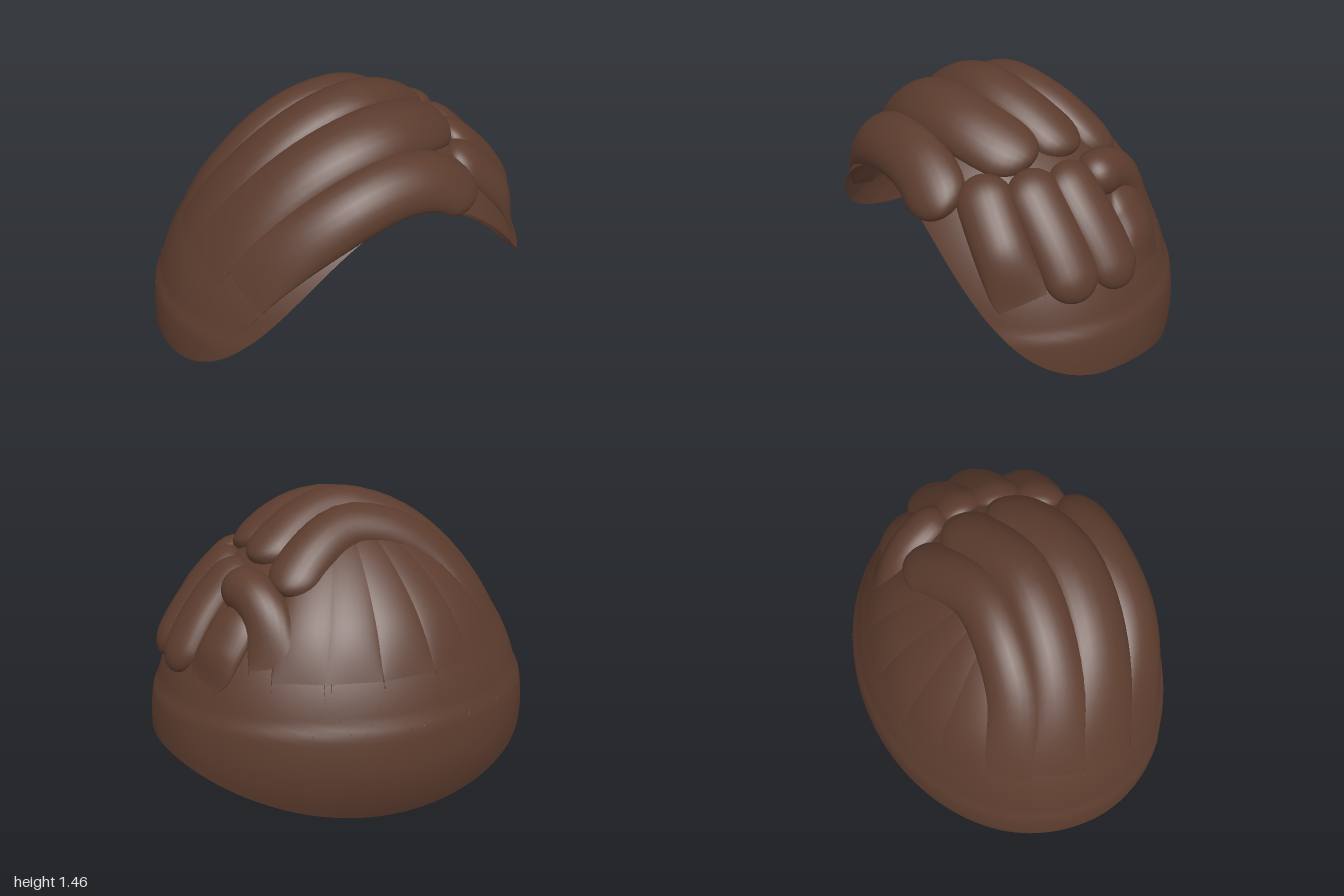
import * as THREE from 'three';

const V = (x, y, z) => new THREE.Vector3(x, y, z);
const step = THREE.MathUtils.smoothstep;
const TOP = 1.37, MID = 0.3, ZC = 0.1;
const CENTER = V(0, 0.4, ZC);

// Half width, front depth and back depth of the head of hair at height y
function section(y) {
  const u = Math.min(1, Math.abs(y - MID) / (TOP - MID));
  const band = 0.985 + 0.015 * (1 - step(y, 0.47, 0.53));
  return {
    w: band * Math.pow(1 - u * u, 0.65),
    front: 0.81 * Math.sqrt(1 - Math.pow(u, 2.5)),
    back: 0.85 * band * Math.pow(1 - u * u, y < MID ? 1.2 : 0.7),
  };
}

function inside(p) {
  if (p.y >= TOP || p.y < -0.6) return false;
  const s = section(p.y), dz = p.z - ZC;
  return (p.x / s.w) ** 2 + (dz / (dz > 0 ? s.front : s.back)) ** 2 < 1;
}

// Distance along a ray to the dome, in lengths of d
function cast(o, d) {
  let lo = 0, hi = 4;
  for (let i = 0; i < 30; i++) {
    const m = (lo + hi) / 2;
    if (inside(o.clone().addScaledVector(d, m))) lo = m; else hi = m;
  }
  return lo;
}
const hit = (o, d) => o.clone().addScaledVector(d, cast(o, d));
const drape = p => hit(CENTER, p.clone().sub(CENTER));
const onTop = ([x, z]) => hit(V(x, 0.35, z), V(0, 1, 0));
const onLeft = ([z, y]) => hit(V(0, y, z), V(1, 0, 0));
const onRight = ([z, y]) => hit(V(0, y, z), V(-1, 0, 0));
const onBack = ([x, y]) => hit(V(x, y, ZC), V(0, 0, -1));
const onFront = ([x, y]) => hit(V(x, y, ZC), V(0, 0, 1));

// Outward direction of the dome at p
function normalAt(p) {
  const e = 0.012, g = q => 1 / cast(CENTER, q.clone().sub(CENTER));
  const n = ['x', 'y', 'z'].map(k => {
    const a = p.clone(), b = p.clone();
    a[k] += e; b[k] -= e;
    return g(a) - g(b);
  });
  return V(...n).normalize();
}

function surface(rows, cols, point) {
  const pos = [], idx = [];
  for (let i = 0; i <= rows; i++)
    for (let j = 0; j < cols; j++) pos.push(...point(i / rows, j / cols).toArray());
  for (let i = 0; i < rows; i++)
    for (let j = 0; j < cols; j++) {
      const a = i * cols + j, b = i * cols + (j + 1) % cols, c = a + cols, d = b + cols;
      idx.push(a, c, b, b, c, d);
    }
  const g = new THREE.BufferGeometry();
  g.setAttribute('position', new THREE.Float32BufferAttribute(pos, 3));
  g.setIndex(idx);
  g.computeVertexNormals();
  return g;
}

// Open dome: the rim arches over the face and dips at the nape
function capGeometry() {
  return surface(64, 144, (v, u) => {
    const a = u * Math.PI * 2, c = Math.cos(a), s = Math.sin(a), q = s * s;
    const rim = s > 0 ? 0.26 + 0.79 * (q - 0.06 * Math.sin(2 * Math.PI * q)) : 0.26 * c * c;
    const y = rim + (TOP - rim) * Math.sin(v * Math.PI / 2);
    const k = section(y);
    return V(k.w * c, y, ZC + s * (s > 0 ? k.front : k.back));
  });
}

// Lock of hair draped over the dome; out and inn are its thickness on either
// side, swell varies the outer one along it, pointed sharpens its first end
function lockGeometry(points, { width, out, inn, swell = () => 1, pointed = false }) {
  const curve = new THREE.CatmullRomCurve3(points);
  const N = 40, path = [], len = curve.getLength();
  const round = d => Math.sqrt(Math.max(0, 1 - (1 - Math.min(1, d)) ** 2));
  for (let i = 0; i <= N; i++) {
    const t = (1 - Math.cos(Math.PI * i / N)) / 2;
    const p = drape(curve.getPointAt(t)), n = normalAt(p);
    const b = curve.getTangentAt(t).cross(n).normalize();
    const start = pointed ? Math.min(1, t * len / 0.22) : round(t * len / width);
    const k = start * round((1 - t) * len / width);
    path.push({ t, p, n, b, k, h: pointed ? Math.sqrt(k) : k });
  }
  return surface(N, 24, (v, u) => {
    const f = path[Math.round(v * N)], a = u * Math.PI * 2, s = Math.sin(a);
    return drape(f.p.clone().addScaledVector(f.b, Math.cos(a) * width * f.k))
      .addScaledVector(f.n, s * f.h * (s > 0 ? out * swell(f.t) : inn));
  });
}

export function createModel() {
  const group = new THREE.Group();
  group.name = 'hair';
  const brown = new THREE.MeshStandardMaterial({ color: 0x5c3c2e, side: THREE.DoubleSide });
  brown.name = 'brown hair';
  const add = (name, geometry) => {
    const m = new THREE.Mesh(geometry, brown);
    m.name = name;
    group.add(m);
  };

  add('cap', capGeometry());

  // Locks combed from the right side over the crown to the parting
  const rise = t => -0.1 + 1.1 * step(t, 0.1, 0.62) - 0.2 * step(t, 0.8, 1);
  [
    [[-0.36, 0.45], [-0.3, 0.75], [-0.45, -0.11], [0, -0.07], [0.25, -0.17], [0.42, -0.28]],
    [[-0.14, 0.45], [-0.07, 0.75], [-0.5, 0.1], [0, 0.15], [0.25, 0.08], [0.48, -0.03]],
    [[0.1, 0.45], [0.18, 0.75], [-0.52, 0.33], [0, 0.4], [0.25, 0.34], [0.48, 0.2]],
    [[0.36, 0.47], [0.45, 0.72], [-0.38, 1.05], [0, 1.16], [0.2, 1.12], [0.41, 0.98]],
  ].forEach((p, i) => {
    const over = p.slice(2).map(i === 3 ? onFront : onTop);
    add('crownLock' + (i + 1), lockGeometry([...p.slice(0, 2).map(onRight), ...over], {
      width: [0.14, 0.155, 0.18, 0.16][i], out: 0.095, inn: i === 3 ? 0.04 : 0.1,
      swell: rise, pointed: true,
    }));
  });

  // Locks hanging on the left side of the parting
  const sink = t => 1 - 1.1 * step(t, 0.5, 1);
  [
    [[0.46, 1.14], [0.49, 0.97], [0.49, 0.8], [0.46, 0.6]],
    [[0.27, 1.15], [0.26, 0.98], [0.24, 0.8], [0.22, 0.64]],
    [[0.07, 1.15], [0.05, 0.98], [0.01, 0.8], [-0.02, 0.64]],
    [[-0.17, 1.0], [-0.22, 0.9], [-0.24, 0.78], [-0.24, 0.62]],
  ].forEach((p, i) => add('sideLock' + (i + 1), lockGeometry(p.map(onLeft), {
    width: 0.137, out: i === 3 ? 0.05 : 0.075, inn: 0.03,
    swell: i === 0 || i === 3 ? sink : undefined,
  })));

  // Thick lock swept backwards from the parting
  add('sweptLock', lockGeometry(
    [[-0.01, 1.06], [-0.17, 1.05], [-0.31, 0.97], [-0.43, 0.82], [-0.53, 0.62]].map(onLeft),
    { width: 0.118, out: 0.105, inn: 0.03, swell: t => 1 - 1.1 * step(t, 0.25, 0.9) }));

  // Pointed locks up the back, standing out on the inner side
  [-0.57, -0.37, -0.1, 0.19, 0.43].forEach((x, i) => add('backLock' + (i + 1),
    lockGeometry([[x, 0.43], [x, 0.7], [x * 0.8, 0.95], [x * 0.3, 1.29]].map(onBack), {
      width: 0.145, out: 0.025, inn: 0.12,
      swell: t => 1.3 * step(t, 0.15, 0.55) - 0.3, pointed: true,
    })));

  return group;
}
